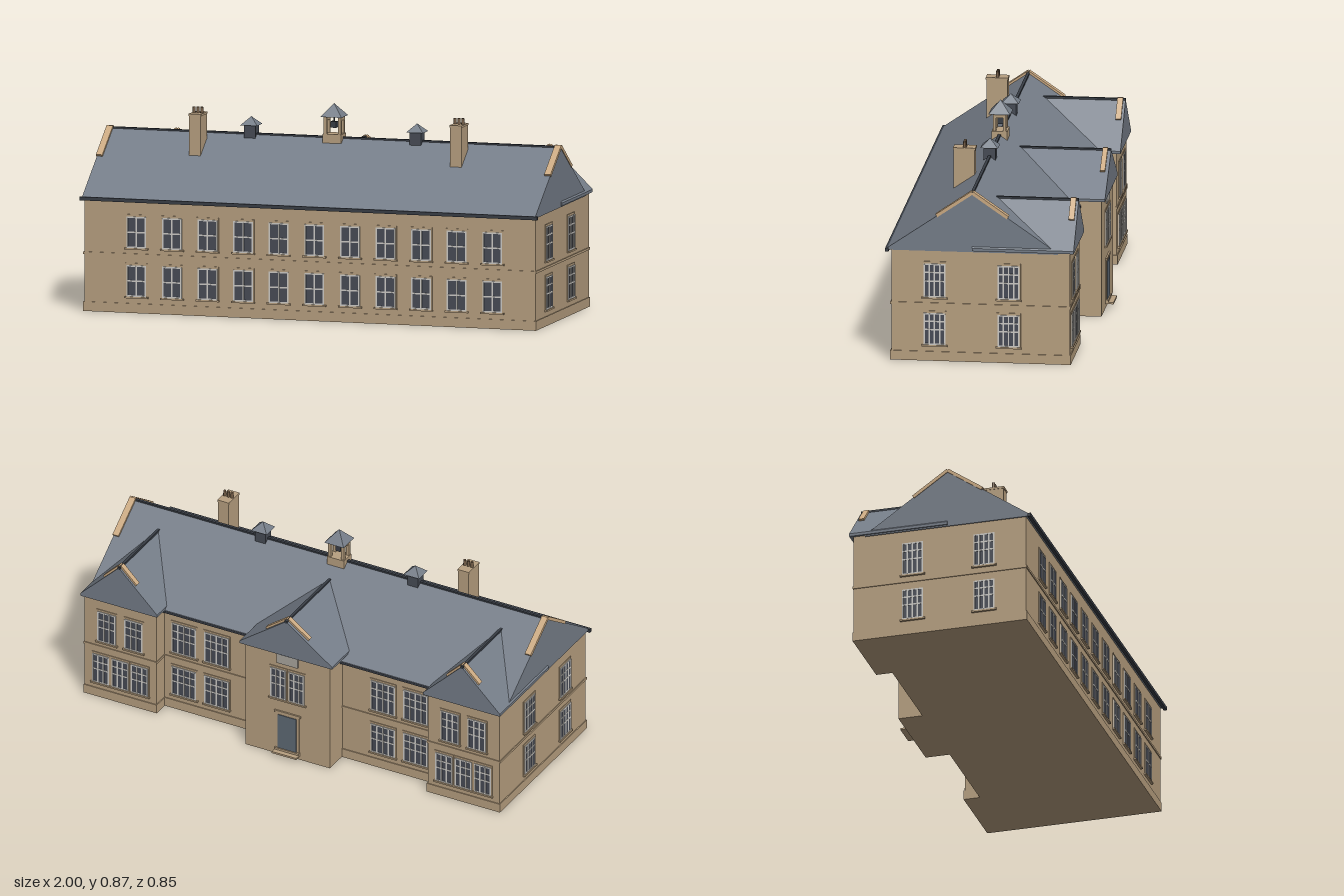
import * as THREE from 'three';

const mat = (name, color) => {
  const m = new THREE.MeshStandardMaterial({ color });
  m.name = name;
  return m;
};

export function createModel() {
  const M = {
    stone: mat('sandstone wall', 0xb8a080),
    coping: mat('pale coping stone', 0xcbaa82),
    slate: mat('roof slate', 0x757d88),
    dark: mat('gutter and ridge', 0x383d45),
    louvre: mat('vent louvre', 0x474c56),
    glass: mat('window glass', 0x474b56),
    frame: mat('window frame', 0xcfcdc8),
    door: mat('door', 0x5f6a75),
    plaque: mat('plaque', 0xaaa69f),
    pot: mat('chimney pot', 0x705a44),
  };
  const root = new THREE.Group();
  root.name = 'building';
  const unit = new THREE.BoxGeometry(1, 1, 1);

  const group = (name, parent = root) => {
    const g = new THREE.Group();
    g.name = name;
    parent.add(g);
    return g;
  };
  // box given by its min and max on each axis
  const box = (parent, name, m, x0, x1, y0, y1, z0, z1) => {
    const b = new THREE.Mesh(unit, m);
    b.name = name;
    b.scale.set(x1 - x0, y1 - y0, z1 - z0);
    b.position.set((x0 + x1) / 2, (y0 + y1) / 2, (z0 + z1) / 2);
    parent.add(b);
    return b;
  };
  const pyramid = (parent, name, half, x, y0, y1, z) => {
    const g = new THREE.ConeGeometry(half * Math.SQRT2, y1 - y0, 4).rotateY(Math.PI / 4).toNonIndexed();
    g.computeVertexNormals();
    const p = new THREE.Mesh(g, M.slate);
    p.name = name;
    p.position.set(x, (y0 + y1) / 2, z);
    parent.add(p);
  };

  // gabled roof along local z, with ridge cap and coping strips near the ridge
  const roof = (name, half, y0, y1, ridge, z0, z1, copeLen, copes) => {
    const g = group(name);
    const s = new THREE.Shape();
    s.moveTo(-half, y0);
    s.lineTo(half, y0);
    s.lineTo(half, y1);
    s.lineTo(0, ridge);
    s.lineTo(-half, y1);
    const geo = new THREE.ExtrudeGeometry(s, { depth: z1 - z0, bevelEnabled: false });
    geo.translate(0, 0, z0);
    const slopes = new THREE.Mesh(geo, M.slate);
    slopes.name = 'slate slopes';
    g.add(slopes);
    box(g, 'ridge cap', M.dark, -0.006, 0.006, ridge - 0.008, ridge + 0.003, z0, z1);
    const slope = (ridge - y1) / half;
    const angle = Math.atan(slope);
    for (const [a, b] of copes) for (const side of [-1, 1]) {
      const len = copeLen / Math.cos(angle);
      const c = box(g, 'coping', M.coping, -len / 2, len / 2, -0.007, 0.007, a, b);
      c.position.x = side * copeLen / 2;
      c.position.y = ridge - slope * copeLen / 2 + 0.002;
      c.rotation.z = -side * angle;
    }
    return g;
  };

  // window on a wall facing local +z, outer face of the wall at z = 0
  const windowUnit = (wall, x, y0, y1, w, cols, rows, name = 'window') => {
    const g = group(name, wall);
    g.position.x = x;
    const h = w / 2, t = 0.003;
    box(g, 'surround', M.stone, -h - 0.008, h + 0.008, y0 - 0.006, y1 + 0.012, -0.004, 0.003);
    box(g, 'sill', M.stone, -h - 0.011, h + 0.011, y0 - 0.010, y0 - 0.003, -0.004, 0.010);
    box(g, 'glass', M.glass, -h, h, y0, y1, 0, 0.0045);
    for (let i = 0; i <= cols; i++) {
      const bx = -h + (w * i) / cols;
      box(g, 'upright bar', M.frame, bx - t, bx + t, y0, y1, 0, 0.0065);
    }
    for (const r of [0, 1, ...rows]) {
      const by = y0 + (y1 - y0) * r;
      box(g, 'cross bar', M.frame, -h - t, h + t, by - t, by + t, 0, 0.006);
    }
  };
  const wallAt = (name, x, z, turn) => {
    const g = group(name);
    g.position.set(x, 0, z);
    g.rotation.y = turn;
    return g;
  };
  const floors = [[0.072, 0.203], [0.277, 0.416]];
  const sash = [0.5], tall = [0.48, 0.75];

  // walls, plinths and string courses
  const walls = group('walls');
  const block = (name, x0, x1, z0, z1, h, bands) => {
    box(walls, name, M.stone, x0, x1, 0, h, z0, z1);
    for (const [a, b] of bands) box(walls, name + ' band', M.stone, x0 - 0.004, x1 + 0.004, a, b, z0 - 0.004, z1 + 0.004);
  };
  const bands = [[0, 0.04], [0.24, 0.25]];
  block('main block', -0.985, 0.985, -0.28, 0.4, 0.476, bands);
  block('entrance bay', -0.2, 0.2, -0.388, 0, 0.502, []);
  for (const s of [-1, 1]) block('end wing', s * 0.815 - 0.17, s * 0.815 + 0.17, -0.35, 0, 0.482, bands);

  // roofs
  const main = roof('main roof', 0.36, 0.474, 0.48, 0.728, -0.99, 0.99, 0.15, [[-0.993, -0.965], [0.965, 0.993]]);
  main.rotation.y = Math.PI / 2;
  main.position.z = 0.06;
  for (const s of [-1, 1]) {
    const r = roof('end wing roof', 0.182, 0.48, 0.492, 0.67, -0.367, 0.06, 0.075, [[-0.357, -0.333]]);
    r.position.x = s * 0.814;
  }
  roof('entrance roof', 0.22, 0.5, 0.511, 0.67, -0.405, 0.03, 0.1, [[-0.391, -0.37]]);
  const gutters = group('gutters');
  box(gutters, 'front gutter', M.dark, -1, 1, 0.468, 0.483, 0.41, 0.424);
  box(gutters, 'back gutter', M.dark, -0.98, 0.98, 0.467, 0.477, -0.301, -0.29);

  // front windows
  const front = wallAt('front windows', 0, 0.4, 0);
  for (let i = 0; i < 11; i++) {
    windowUnit(front, -0.757 + i * 0.1555, 0.072, 0.198, 0.08, 2, sash);
    windowUnit(front, -0.757 + i * 0.1555, 0.277, 0.403, 0.08, 2, sash);
  }
  // end wall windows
  for (const s of [-1, 1]) {
    const end = wallAt('end windows', s * 0.985, 0, s * Math.PI / 2);
    for (const z of [0.218, -0.093]) for (const [a, b] of floors) windowUnit(end, -s * z, a, b, 0.086, 4, tall);
  }
  // back windows, mirrored about the entrance
  const wingBack = wallAt('wing back windows', 0, -0.35, Math.PI);
  const mainBack = wallAt('main back windows', 0, -0.28, Math.PI);
  for (const s of [-1, 1]) {
    for (const d of [-0.092, 0, 0.092]) windowUnit(wingBack, s * 0.815 + d, ...floors[0], 0.074, 3, tall);
    for (const d of [-0.064, 0.064]) windowUnit(wingBack, s * 0.815 + d, ...floors[1], 0.08, 3, tall);
    for (const x of [0.395, 0.55]) for (const [a, b] of floors) windowUnit(mainBack, s * x, a, b, 0.11, 4, tall);
  }
  // entrance: paired windows, plaque, door and step
  const entry = wallAt('entrance', 0, -0.388, Math.PI);
  for (const s of [-1, 1]) windowUnit(entry, s * 0.043, ...floors[1], 0.068, 3, tall);
  box(entry, 'plaque', M.plaque, -0.05, 0.05, 0.448, 0.492, -0.002, 0.006);
  box(entry, 'door surround', M.stone, -0.056, 0.056, 0.018, 0.208, -0.002, 0.004);
  box(entry, 'door lintel', M.stone, -0.062, 0.062, 0.204, 0.214, -0.002, 0.007);
  box(entry, 'door', M.door, -0.044, 0.044, 0.03, 0.196, 0, 0.007);
  box(entry, 'threshold', M.stone, -0.058, 0.058, 0.017, 0.034, -0.002, 0.012);
  box(entry, 'step', M.stone, -0.058, 0.058, 0.017, 0.025, -0.002, 0.034);

  // chimneys and louvred vents
  for (const s of [-1, 1]) {
    const c = group('chimney');
    c.position.x = s * 0.57;
    box(c, 'stack', M.stone, -0.025, 0.025, 0.62, 0.81, 0.097, 0.185);
    box(c, 'cap', M.stone, -0.027, 0.027, 0.808, 0.817, 0.094, 0.188);
    for (const x of [-0.017, 0, 0.017]) {
      const p = new THREE.Mesh(new THREE.CylinderGeometry(0.006, 0.007, 0.026, 10), M.pot);
      p.name = 'chimney pot';
      p.position.set(x, 0.829, 0.14);
      c.add(p);
    }
    const v = group('roof vent');
    v.position.x = s * 0.362;
    box(v, 'louvre box', M.louvre, -0.025, 0.025, 0.7, 0.766, 0.035, 0.085);
    pyramid(v, 'vent cap', 0.037, 0, 0.765, 0.8, 0.06);
  }

  // open belfry
  const belfry = group('belfry');
  belfry.position.z = 0.06;
  box(belfry, 'base', M.stone, -0.041, 0.041, 0.704, 0.743, -0.033, 0.033);
  for (const x of [-1, 1]) for (const z of [-1, 1]) {
    box(belfry, 'post', M.stone, x * 0.031 - 0.007, x * 0.031 + 0.007, 0.74, 0.818, z * 0.021 - 0.006, z * 0.021 + 0.006);
  }
  for (const x of [-1, 1]) box(belfry, 'side rail', M.stone, x * 0.031 - 0.007, x * 0.031 + 0.007, 0.8, 0.818, -0.027, 0.027);
  box(belfry, 'bell', M.dark, -0.012, 0.012, 0.768, 0.794, -0.012, 0.012);
  box(belfry, 'bell hanger', M.dark, -0.002, 0.002, 0.79, 0.82, -0.002, 0.002);
  pyramid(belfry, 'belfry cap', 0.046, 0, 0.816, 0.87, 0);

  return root;
}
